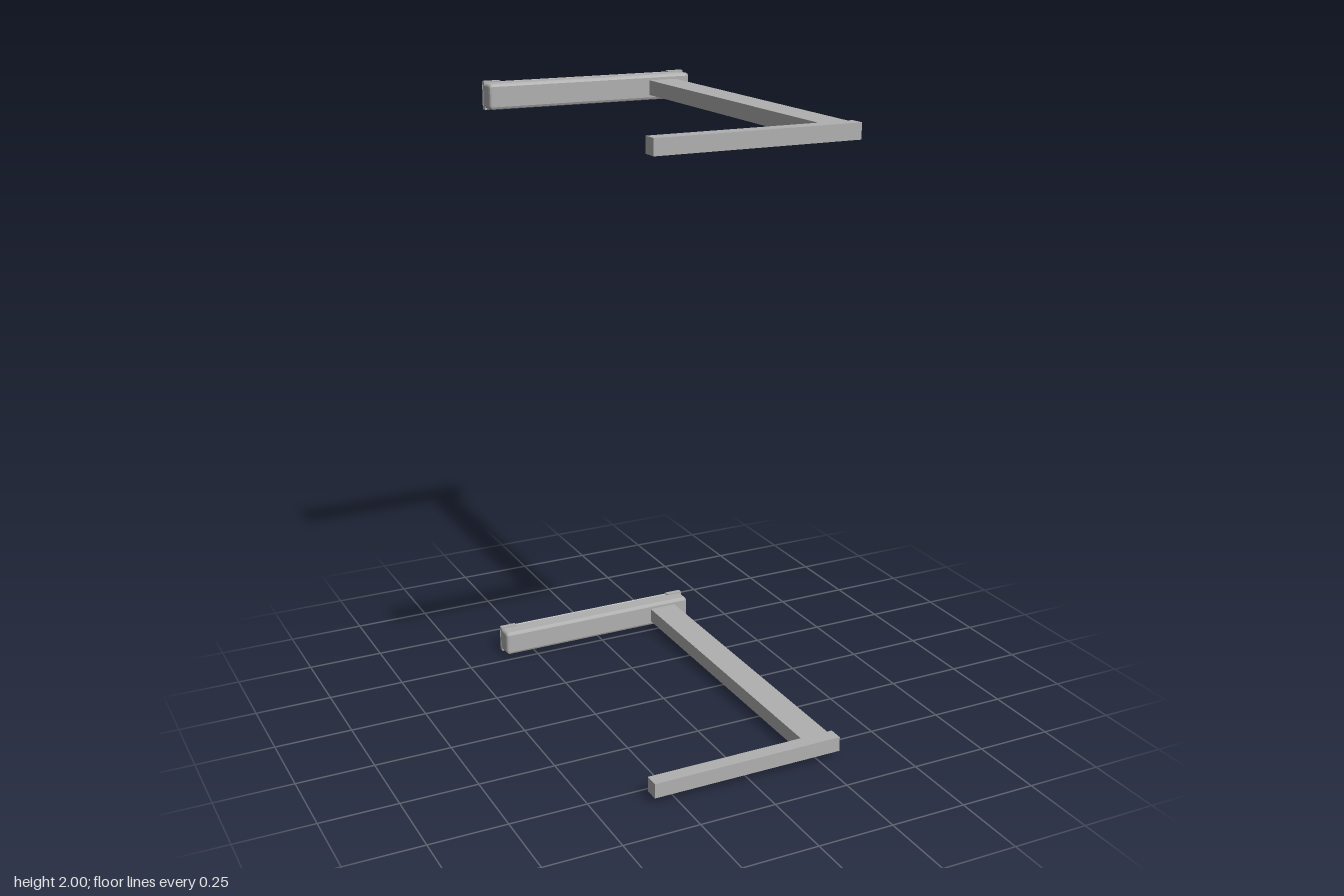
import * as THREE from 'three';

export function createModel() {
  const model = new THREE.Group();
  const grey = new THREE.MeshStandardMaterial({ color: 0xb0b0b0 });
  grey.name = 'plainGrey';
  grey.flatShading = true;

  const add = (parent, name, geometry, x = 0, y = 0, z = 0) => {
    const mesh = new THREE.Mesh(geometry, grey);
    mesh.name = name;
    mesh.position.set(x, y, z);
    parent.add(mesh);
  };

  // Long stem and front arm: one L-shaped plate, outline in x and -z
  const outline = [
    [-0.322, -0.593], [0.32, -0.593], [0.32, -0.545], [0.303, -0.545],
    [0.303, 0.535], [0.207, 0.535], [0.207, -0.545], [-0.322, -0.545],
  ];
  const thick = 0.048;
  const armGeometry = new THREE.ExtrudeGeometry(
    new THREE.Shape(outline.map(([x, y]) => new THREE.Vector2(x, y))),
    { depth: thick, bevelEnabled: false },
  );
  armGeometry.translate(0, 0, -thick / 2).rotateX(-Math.PI / 2);

  // Mounting bar: rounded rectangle with a softened front edge and square back
  const w = 0.355, h = 0.041, r = 0.012, b = 0.009, depth = 0.067;
  const face = new THREE.Shape();
  face.absarc(w - r, h - r, r, 0, Math.PI / 2);
  face.absarc(-w + r, h - r, r, Math.PI / 2, Math.PI);
  face.absarc(-w + r, -h + r, r, Math.PI, Math.PI * 1.5);
  face.absarc(w - r, -h + r, r, Math.PI * 1.5, Math.PI * 2);
  const barGeometry = new THREE.ExtrudeGeometry(face, {
    depth: depth - 2 * b, curveSegments: 3, bevelEnabled: true,
    bevelThickness: b, bevelSize: b, bevelOffset: -b, bevelSegments: 2,
  });
  barGeometry.translate(0, 0, b);
  const p = barGeometry.attributes.position;
  for (let i = 0; i < p.count; i++) {
    if (p.getZ(i) < 1e-5) {
      p.setX(i, p.getX(i) * w / (w - b));
      p.setY(i, p.getY(i) * h / (h - b));
    }
  }
  barGeometry.computeVertexNormals();

  // Small raised pad at each rear corner
  const padGeometry = new THREE.BoxGeometry(0.056, 0.012, 0.018);

  // Two identical brackets, one at the bottom and one at the top
  [['lowerBracket', 0.045], ['upperBracket', 1.955]].forEach(([name, y]) => {
    const bracket = new THREE.Group();
    bracket.name = name;
    bracket.position.y = y;
    add(bracket, 'stemAndArm', armGeometry);
    add(bracket, 'mountingBar', barGeometry, 0, 0, -0.593);
    for (const sx of [-1, 1]) {
      for (const sy of [-1, 1]) add(bracket, 'cornerPad', padGeometry, sx * 0.327, sy * 0.039, -0.584);
    }
    model.add(bracket);
  });
  return model;
}
